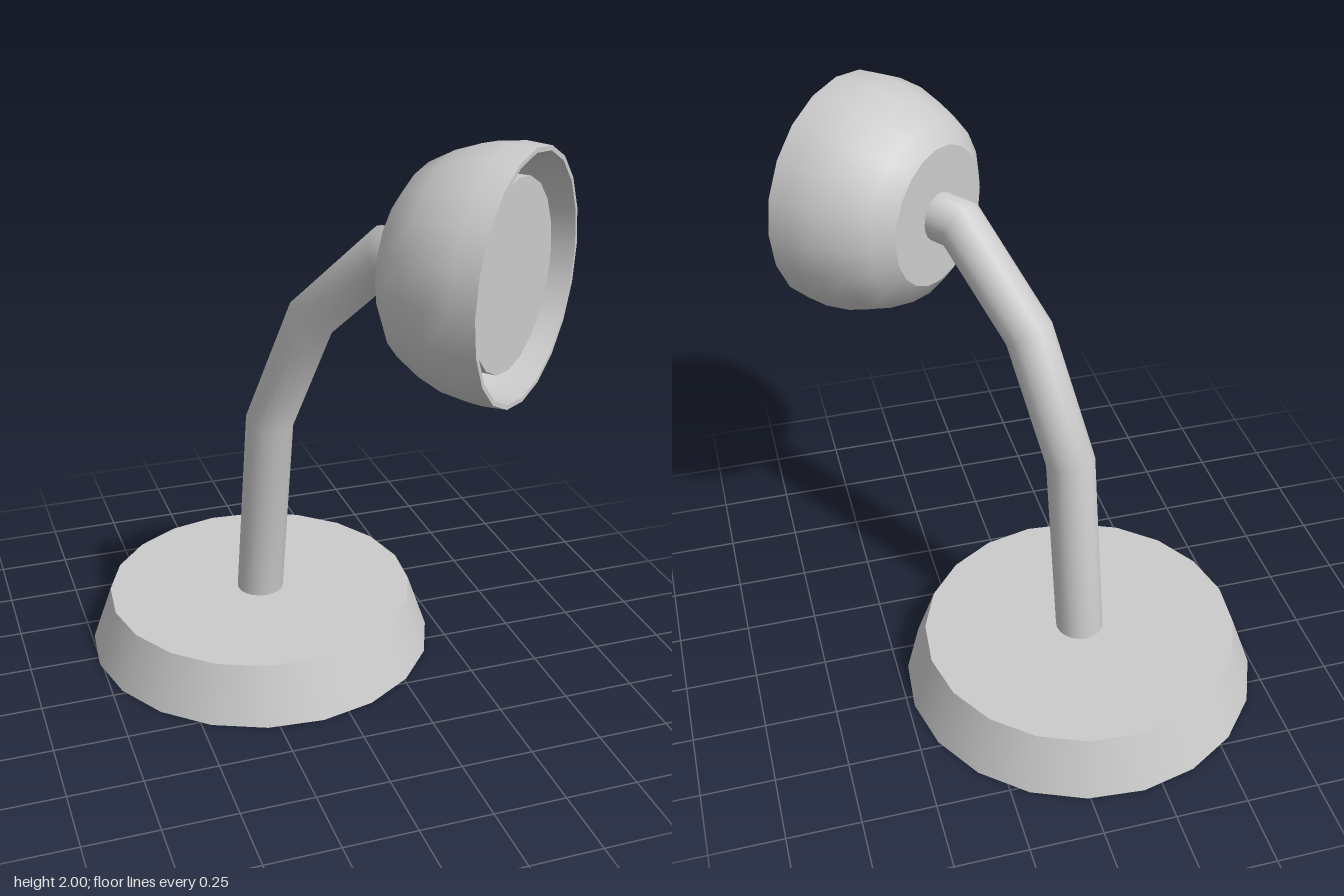
import * as THREE from 'three';
import { toCreasedNormals } from 'three/addons/utils/BufferGeometryUtils.js';

const SIDES = 20;
const material = new THREE.MeshStandardMaterial({ color: 0xcccccc });

function part(name, geometry, parent) {
  const mesh = new THREE.Mesh(geometry, material);
  mesh.name = name;
  parent.add(mesh);
  return mesh;
}

// Round bar along straight segments, with mitred joints
function bentBar(points, radius) {
  const dirs = points.slice(1).map((p, i) => p.clone().sub(points[i]).normalize());
  const last = dirs.length - 1;
  const side = new THREE.Vector3().crossVectors(dirs[0], dirs[last]).normalize();
  const positions = [], index = [];
  points.forEach((p, i) => {
    const before = dirs[Math.max(i - 1, 0)], after = dirs[Math.min(i, last)];
    const tangent = before.clone().add(after).normalize();
    const across = new THREE.Vector3().crossVectors(tangent, side).normalize();
    const stretch = 1 / tangent.dot(after);
    for (let j = 0; j < SIDES; j++) {
      const a = (j / SIDES) * Math.PI * 2;
      const v = p.clone()
        .addScaledVector(across, Math.cos(a) * radius * stretch)
        .addScaledVector(side, Math.sin(a) * radius);
      positions.push(v.x, v.y, v.z);
      if (i <= last) {
        const k = (j + 1) % SIDES, r = i * SIDES, s = r + SIDES;
        index.push(r + j, r + k, s + j, r + k, s + k, s + j);
      }
    }
  });
  const geometry = new THREE.BufferGeometry();
  geometry.setAttribute('position', new THREE.Float32BufferAttribute(positions, 3));
  geometry.setIndex(index);
  // Flip the winding if the first face looks inward
  const at = (n) => new THREE.Vector3().fromArray(positions, n * 3);
  const normal = at(index[1]).sub(at(index[0])).cross(at(index[2]).sub(at(index[0])));
  if (normal.dot(at(0).sub(points[0])) < 0) geometry.setIndex(index.reverse());
  geometry.computeVertexNormals();
  return geometry;
}

// Turned shape whose axis points along +z; profile is [radius, distance]
function turned(profile) {
  const points = profile.map(([r, d]) => new THREE.Vector2(r, d));
  const geometry = new THREE.LatheGeometry(points, SIDES).rotateX(Math.PI / 2);
  return toCreasedNormals(geometry, 0.6);
}

export function createModel() {
  const model = new THREE.Group();
  model.name = 'deskLamp';

  // Tapered round foot
  const base = part('base', new THREE.CylinderGeometry(0.55, 0.62, 0.2, SIDES), model);
  base.position.set(-0.14, 0.1, -0.25);
  base.rotation.y = 0.07;

  // Bent stem, rising from the base into the back of the head
  part('stem', bentBar([
    new THREE.Vector3(-0.145, 0.1, -0.253),
    new THREE.Vector3(-0.115, 0.89, -0.18),
    new THREE.Vector3(-0.015, 1.315, -0.02),
    new THREE.Vector3(0.145, 1.6, 0.235),
    new THREE.Vector3(0.215, 1.6, 0.335),
  ], 0.083), model);

  // Head, turned to the left
  const head = new THREE.Group();
  head.name = 'head';
  head.position.set(0.2, 1.6, 0.31);
  head.rotation.y = 0.74;
  model.add(head);

  // Hollow shade: flat back, rounded outside, thin lip, bowl inside
  part('shade', turned([
    [0, 0], [0.24, 0], [0.31, 0.05], [0.357, 0.135], [0.388, 0.22], [0.4, 0.31], [0.395, 0.39],
    [0.38, 0.39], [0.378, 0.31], [0.366, 0.22], [0.335, 0.14], [0.29, 0.07], [0, 0.04],
  ]), head);

  // Flat-faced bulb set just inside the lip
  part('bulb', turned([[0, 0.06], [0.27, 0.08], [0.3, 0.2], [0.3, 0.34], [0, 0.34]]), head);

  return model;
}
